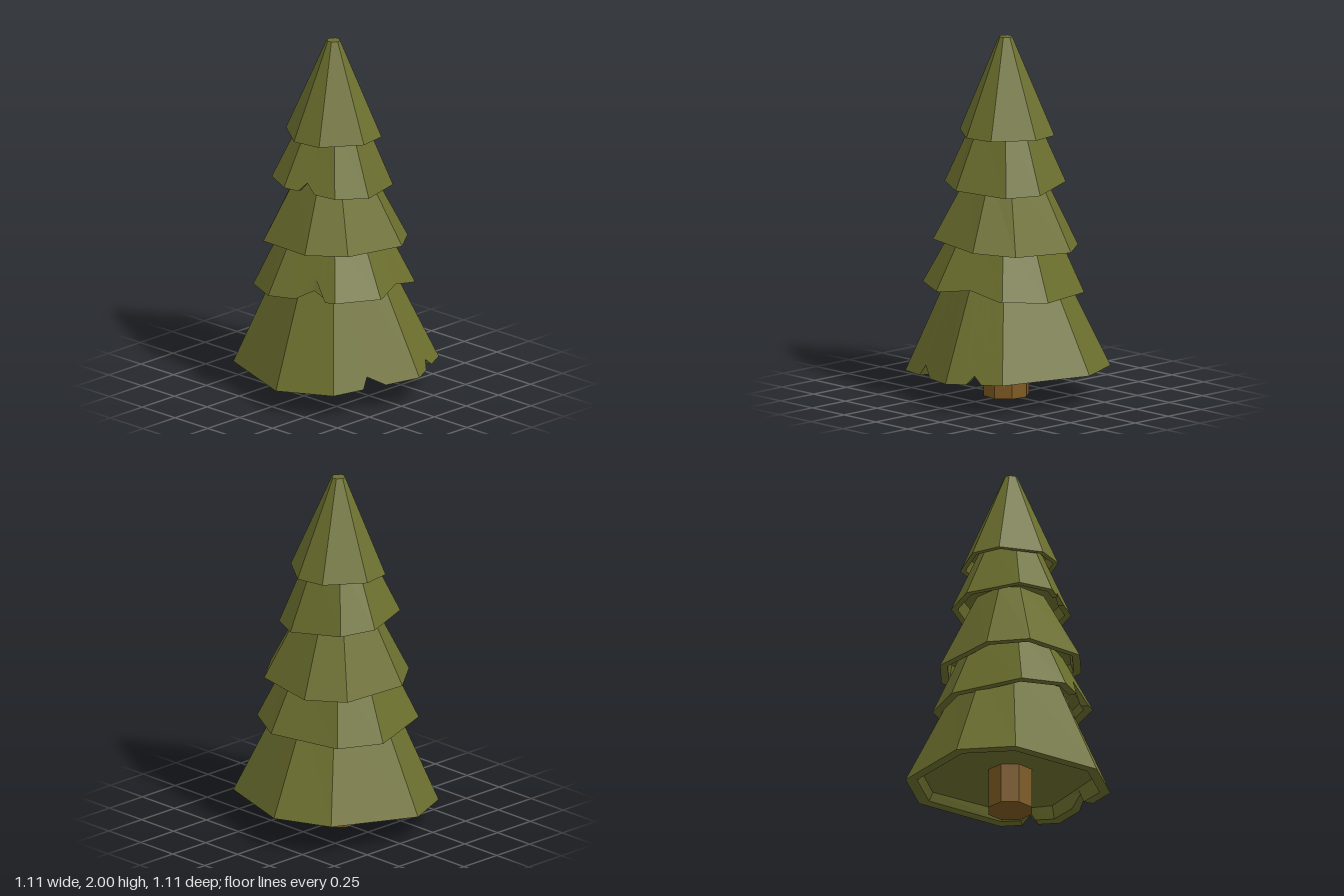
import * as THREE from 'three';

const AXIS_X = -0.02; // the trunk axis sits slightly off centre

// Loft closed rings of points, in order from the underside to the tip
function loft(rings) {
  const pos = [];
  const tri = (a, b, c) => {
    if (a.equals(b) || b.equals(c) || a.equals(c)) return;
    pos.push(...a.toArray(), ...b.toArray(), ...c.toArray());
  };
  for (let r = 0; r < rings.length - 1; r++) {
    const A = rings[r], B = rings[r + 1], n = A.length;
    for (let i = 0; i < n; i++) {
      const j = (i + 1) % n;
      tri(A[i], B[i], B[j]);
      tri(A[i], B[j], A[j]);
    }
  }
  const g = new THREE.BufferGeometry();
  g.setAttribute('position', new THREE.Float32BufferAttribute(pos, 3));
  g.computeVertexNormals();
  return g;
}

// One tier of branches: an uneven octagonal skirt with a tilted, notched rim
function tierGeometry({ radius, center, angles, y, tilt, top, taper, notches }) {
  // two corners per quarter turn, on a tilted plane
  const corners = [];
  for (let q = 0; q < 4; q++) {
    for (const a of angles) {
      const t = THREE.MathUtils.degToRad(a + 90 * q);
      const x = center[0] + radius * Math.cos(t), z = center[1] + radius * Math.sin(t);
      corners.push(new THREE.Vector3(x, y + tilt[0] * x + tilt[1] * z, z));
    }
  }
  // rim points, with three extra ones for each notch
  const base = [], lift = [];
  corners.forEach((c, i) => {
    base.push(c);
    lift.push(0);
    for (const n of notches.filter((m) => m.edge === i)) {
      n.at.forEach((t, k) => {
        base.push(c.clone().lerp(corners[(i + 1) % 8], t));
        lift.push(k === 1 ? n.height : 0);
      });
    }
  });
  const scaled = (s, yOf) => base.map((p, i) =>
    new THREE.Vector3(AXIS_X + (p.x - AXIS_X) * s, yOf(p, i), p.z * s));

  const ceiling = y + 0.075;
  const upper = scaled(taper, () => top);
  const rim = base.map((p, i) => p.clone().lerp(upper[i], lift[i] / (top - p.y)));
  return loft([
    scaled(0, () => ceiling),                                      // recess centre
    scaled(0.85, () => ceiling),                                   // recess ceiling
    scaled(0.89, (p, i) => Math.min(p.y + lift[i], ceiling - 0.005)), // inner lip
    rim,                                                           // outer rim
    upper,                                                         // top of the wall
    scaled(0, () => top),
  ]);
}

// angles: the two corner directions repeated each quarter turn
// notches: edge number, start / peak / end along that edge, and height
const tiers = [
  { name: 'bottomBranches', radius: 0.561, center: [0, 0], angles: [-8.6, 47],
    y: 0.152, tilt: [0.05, 0], top: 0.72, taper: 0.53, notches: [
      { edge: 1, at: [0.37, 0.51, 0.64], height: 0.045 },
      { edge: 2, at: [0.39, 0.59, 0.65], height: 0.06 }] },
  { name: 'lowerBranches', radius: 0.441, center: [-0.025, 0.01], angles: [10.3, 44.8],
    y: 0.6, tilt: [-0.04, 0.055], top: 0.95, taper: 0.61, notches: [
      { edge: 1, at: [0.05, 0.5, 0.95], height: 0.033 },
      { edge: 3, at: [0.15, 0.35, 0.6], height: 0.12 }] },
  { name: 'middleBranches', radius: 0.4, center: [-0.012, 0.008], angles: [35.8, 70.4],
    y: 0.855, tilt: [-0.05, 0.045], top: 1.27, taper: 0.47, notches: [] },
  { name: 'upperBranches', radius: 0.331, center: [-0.025, -0.003], angles: [8.7, 43.3],
    y: 1.188, tilt: [-0.07, -0.055], top: 1.56, taper: 0.5, notches: [
      { edge: 3, at: [0.4, 0.58, 0.72], height: 0.05 }] },
  { name: 'topBranches', radius: 0.273, center: [-0.012, -0.005], angles: [8.5, 62.8],
    y: 1.465, tilt: [0, 0], top: 2, taper: 0.14, notches: [] },
];

export function createModel() {
  const group = new THREE.Group();
  group.name = 'pineTree';

  const needles = new THREE.MeshStandardMaterial({ color: 0x6c6f2e });
  needles.name = 'needleGreen';
  const bark = new THREE.MeshStandardMaterial({ color: 0x7d5a22, flatShading: true });
  bark.name = 'barkBrown';

  // Eight-sided trunk reaching into the bottom tier
  const trunk = new THREE.Mesh(new THREE.CylinderGeometry(0.128, 0.128, 0.25, 8), bark);
  trunk.name = 'trunk';
  trunk.position.set(-0.015, 0.125, 0);
  trunk.rotation.y = THREE.MathUtils.degToRad(16);
  group.add(trunk);

  // Stacked tiers of branches
  for (const t of tiers) {
    const mesh = new THREE.Mesh(tierGeometry(t), needles);
    mesh.name = t.name;
    group.add(mesh);
  }
  return group;
}
